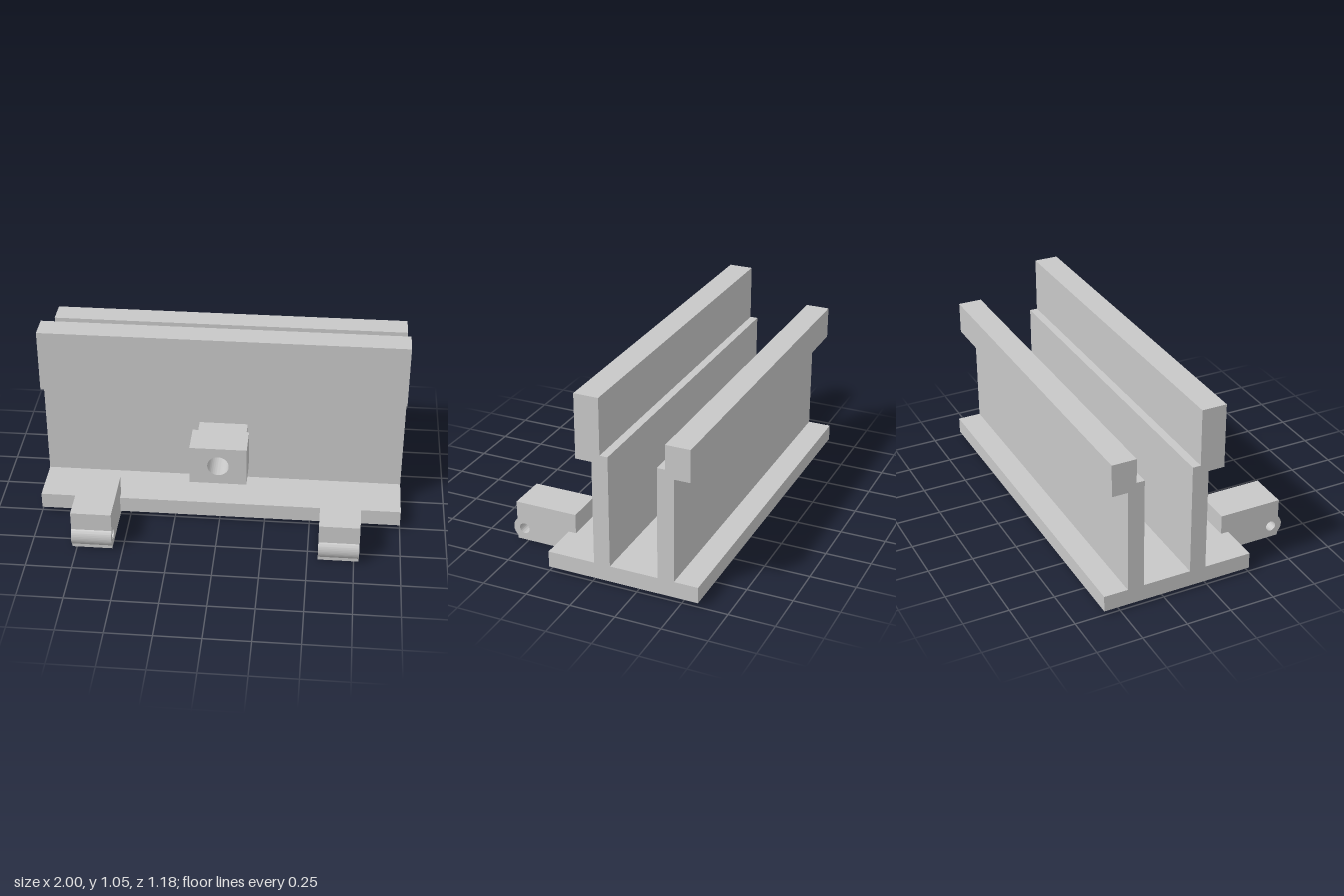
import * as THREE from 'three';
import { toCreasedNormals } from 'three/addons/utils/BufferGeometryUtils.js';

const grey = new THREE.MeshStandardMaterial({ color: 0xc8c8c8 });
grey.name = 'lightGrey';

const outline = (points) => new THREE.Shape(points.map(([a, b]) => new THREE.Vector2(a, b)));

function addHole(shape, x, y, r) {
  const hole = new THREE.Path();
  hole.absarc(x, y, r, 0, Math.PI * 2, true);
  shape.holes.push(hole);
  return shape;
}

function extrude(shape, depth) {
  const geo = new THREE.ExtrudeGeometry(shape, { depth, bevelEnabled: false, curveSegments: 32 });
  return toCreasedNormals(geo, 0.5);
}

// (z, y) profile extruded along x, centred on cx
const alongX = (shape, width, cx = 0) =>
  extrude(shape, width).translate(0, 0, -width / 2).rotateY(-Math.PI / 2).translate(cx, 0, 0);

// (x, y) profile extruded from z0 to z1
const alongZ = (shape, z0, z1) => extrude(shape, z1 - z0).translate(0, 0, z0);

const rect = (a0, b0, a1, b1) => outline([[a0, b0], [a1, b0], [a1, b1], [a0, b1]]);

export function createModel() {
  const model = new THREE.Group();
  model.name = 'railBracket';
  const add = (name, geometry, parent = model) => {
    const mesh = new THREE.Mesh(geometry, grey);
    mesh.name = name;
    parent.add(mesh);
  };

  // Base plate and the two upright walls with offset top rails
  add('basePlate', alongX(rect(-0.588, 0.022, 0.254, 0.112), 2));
  add('frontWall', alongX(outline([
    [-0.1, 0.112], [-0.01, 0.112], [-0.01, 0.69], [0.079, 0.69],
    [0.079, 1.046], [-0.056, 1.046], [-0.056, 0.734], [-0.1, 0.734],
  ]), 2));
  add('backWall', alongX(outline([
    [-0.456, 0.112], [-0.366, 0.112], [-0.366, 0.734], [-0.41, 0.734],
    [-0.41, 0.868], [-0.544, 0.868], [-0.544, 0.69], [-0.456, 0.69],
  ]), 2));

  // Socket on the front wall: bored block on a grooved stem
  const socket = new THREE.Group();
  socket.name = 'socket';
  model.add(socket);
  const boreY = 0.424, boreR = 0.058, stemTop = 0.468;
  add('socketBlock', alongZ(addHole(rect(-0.154, 0.312, 0.154, 0.534), 0, boreY, boreR), 0.168, 0.346), socket);
  add('socketStem', alongZ(rect(-0.134, 0.29, 0.134, stemTop), -0.01, 0.1), socket);
  const grooved = outline([[-0.134, 0.29], [0.134, 0.29], [0.134, stemTop]]);
  const a = Math.asin((stemTop - boreY) / boreR);
  grooved.absarc(0, boreY, boreR, a, Math.PI - a, true);
  grooved.lineTo(-0.134, stemTop);
  add('socketGroove', alongZ(grooved, 0.1, 0.168), socket);
  add('socketLip', alongZ(rect(-0.134, 0.29, 0.134, 0.312), 0.168, 0.303), socket);

  // Hinge blocks with a rounded nose and a pin hole
  const pinZ = 0.523, pinY = 0.068, noseR = 0.065, faceZ = 0.566;
  const b = Math.acos((faceZ - pinZ) / noseR);
  const hinge = outline([[0.212, 0], [faceZ, 0]]);
  hinge.absarc(pinZ, pinY, noseR, -b, b, false);
  hinge.lineTo(faceZ, 0.222);
  hinge.lineTo(0.212, 0.222);
  addHole(hinge, pinZ, pinY, 0.029);
  add('leftHinge', alongX(hinge, 0.22, 0.667));
  add('rightHinge', alongX(hinge, 0.22, -0.667));

  return model;
}
